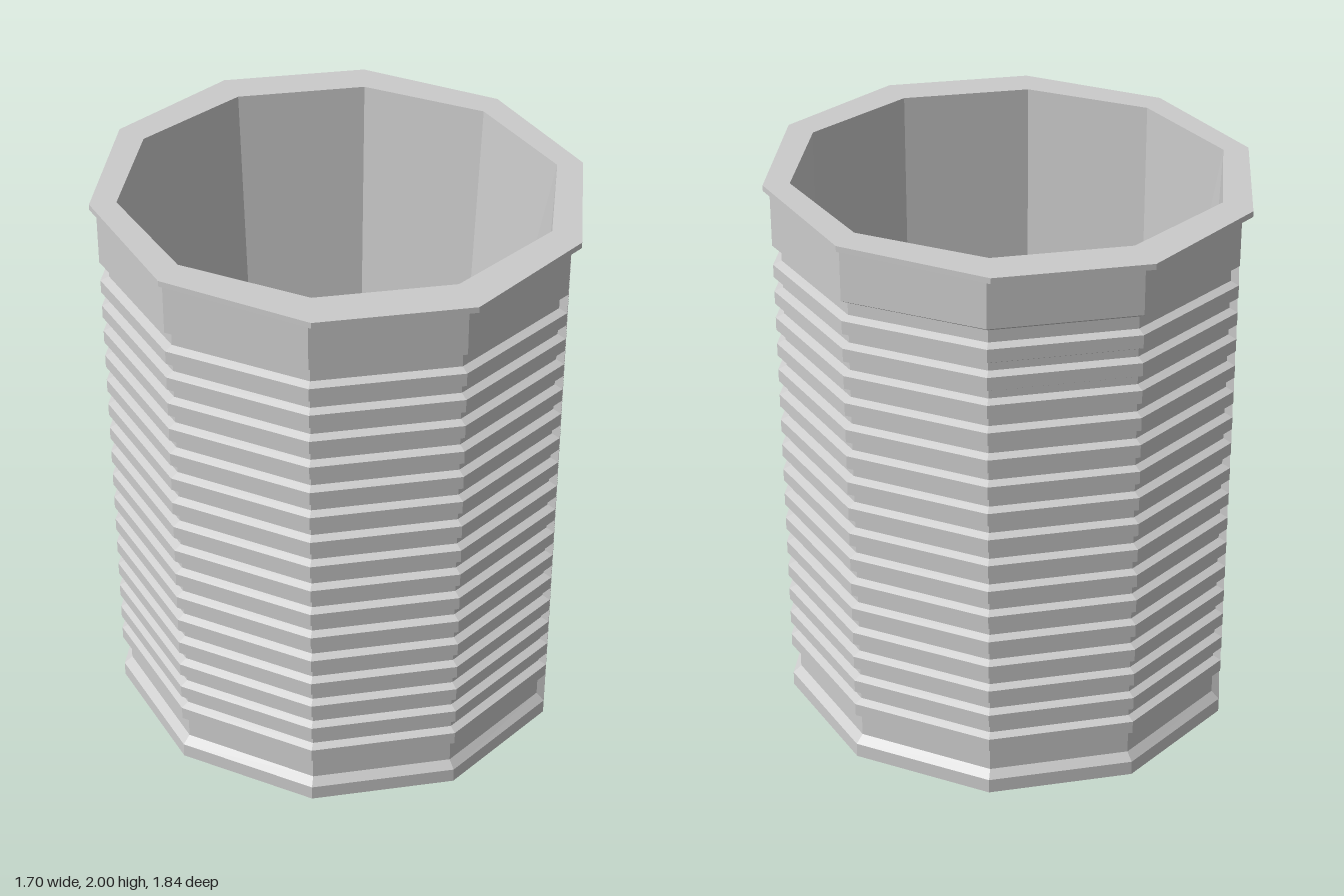
import * as THREE from 'three';

const SIDES = 10;

// One ten-sided ring; shape(point) may adjust each corner
function ring(y, rx, rz, shape) {
  return Array.from({ length: SIDES }, (_, i) => {
    const a = (i / SIDES) * Math.PI * 2;
    const p = new THREE.Vector3(rx * Math.cos(a), y, -rz * Math.sin(a));
    if (shape) shape(p);
    return p;
  });
}

// Joins rings in order, optionally closing the first and last ring
function loft(name, rings, material, capStart, capEnd) {
  const pos = [];
  const tri = (...pts) => pts.forEach((p) => pos.push(p.x, p.y, p.z));
  for (let r = 0; r < rings.length - 1; r++) {
    for (let i = 0; i < SIDES; i++) {
      const j = (i + 1) % SIDES;
      const a = rings[r], b = rings[r + 1];
      tri(a[i], a[j], b[j]);
      tri(a[i], b[j], b[i]);
    }
  }
  const first = rings[0], last = rings[rings.length - 1];
  for (let i = 1; i < SIDES - 1; i++) {
    if (capStart) tri(first[0], first[i + 1], first[i]);
    if (capEnd) tri(last[0], last[i], last[i + 1]);
  }
  const geo = new THREE.BufferGeometry();
  geo.setAttribute('position', new THREE.Float32BufferAttribute(pos, 3));
  geo.computeVertexNormals();
  const mesh = new THREE.Mesh(geo, material);
  mesh.name = name;
  return mesh;
}

export function createModel() {
  const group = new THREE.Group();
  group.name = 'ribbedContainer';
  const material = new THREE.MeshStandardMaterial({ color: 0xcccccc, flatShading: true });

  const wide = (y) => ring(y, 0.83, 0.867);
  const narrow = (y) => ring(y, 0.8, 0.84);
  // The rim dips very slightly toward the back
  const tilt = (p) => { p.y -= 0.005 * (0.92 - p.z); };

  // Ribbed outer wall: foot, sixteen ribs, plain collar
  const outer = [wide(0), wide(0.052), narrow(0.08)];
  for (let i = 0; i < 16; i++) {
    const y = 0.198 + i * 0.0989;
    const foot = i === 0 ? 0.04 : 0.036;
    outer.push(narrow(y - foot), wide(y - 0.023), wide(y + 0.023), narrow(y + 0.036));
  }
  outer.push(narrow(1.76), wide(1.775), wide(1.975));
  group.add(loft('ribbedWall', outer, material, true, false));

  // Thin overhanging rim
  const lip = ring(2, 0.76, 0.804, tilt);
  group.add(loft('rim', [
    ring(1.977, 0.83, 0.867, tilt),
    ring(1.98, 0.852, 0.967, tilt),
    ring(2, 0.852, 0.967, tilt),
    lip,
  ], material, false, false));

  // Inside wall and floor: upright at the front, narrowing toward the back
  const floor = ring(0.08, 0.76, 0.804, (p) => {
    const s = p.z > 0.1 ? 1 : p.z > -0.1 ? 0.91 : 0.85;
    p.x *= s;
    p.z *= s;
  });
  group.add(loft('insideWallAndFloor', [lip, floor], material, false, true));

  return group;
}
